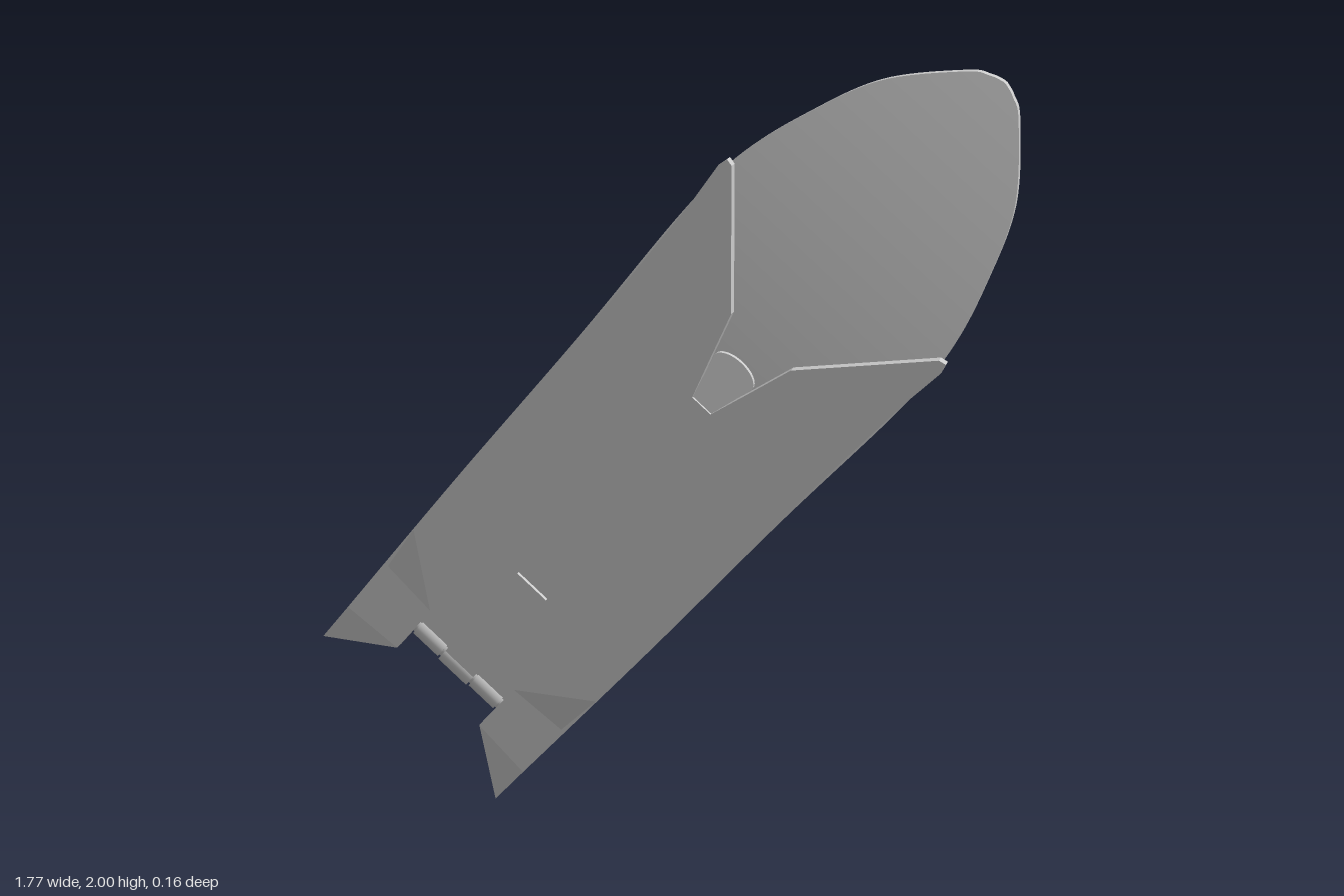
import * as THREE from 'three';
import { ConvexGeometry } from 'three/addons/geometries/ConvexGeometry.js';

const material = new THREE.MeshStandardMaterial({ color: 0xcccccc, side: THREE.DoubleSide });
const BACK = 0.013, MID = 0.041, FRONT = 0.069;

function add(group, name, geometry) {
  const mesh = new THREE.Mesh(geometry, material);
  mesh.name = name;
  group.add(mesh);
  return mesh;
}

// Flat plate from an outline, between two depths
function slab(points, z0, z1) {
  const shape = new THREE.Shape(points.map(([x, y]) => new THREE.Vector2(x, y)));
  return new THREE.ExtrudeGeometry(shape, { depth: z1 - z0, bevelEnabled: false }).translate(0, 0, z0);
}

// Corner whose outer point slopes down from the front face to the depth "low"
function wedge([a, b, tip], z0, z1, low) {
  const v = (p, z) => new THREE.Vector3(p[0], p[1], z);
  return new ConvexGeometry([v(a, z0), v(b, z0), v(tip, z0), v(a, z1), v(b, z1), v(tip, low)]);
}

// Half outline followed by its mirror image
const mirrored = (half) => [...half, ...half.map(([x, y]) => [-x, y]).reverse()];

// Long board with a rounded nose that sweeps backwards
function boardGeometry() {
  const edge = new THREE.SplineCurve([
    [0.323, 0.285], [0.33, 0.7], [0.333, 1.2], [0.344, 1.6], [0.332, 1.79], [0.281, 1.963],
    [0.207, 2.128], [0.082, 2.267], [0.035, 2.297], [0.004, 2.307],
  ].map(([x, y]) => new THREE.Vector2(x, y)));
  const geometry = new THREE.BoxGeometry(2, 1, MID - BACK, 4, 90, 1);
  const pos = geometry.attributes.position;
  for (let i = 0; i < pos.count; i++) {
    const p = edge.getPoint(pos.getY(i) + 0.5);
    const bend = 0.0755 * Math.max(0, p.y - 1.2) ** 2;
    pos.setXYZ(i, pos.getX(i) * p.x, p.y, pos.getZ(i) + (BACK + MID) / 2 - bend);
  }
  geometry.computeVertexNormals();
  return geometry;
}

export function createModel() {
  const model = new THREE.Group();
  model.name = 'hingedBoard';
  const body = new THREE.Group();
  body.name = 'tiltedBody';
  body.rotation.z = -THREE.MathUtils.degToRad(40);
  body.position.set(-0.645, 0.215, 0);
  model.add(body);

  add(body, 'backBoard', boardGeometry());

  // Front plate with a V-shaped opening at its upper end
  add(body, 'frontPlate', slab(mirrored([
    [0.15, 0.285], [0.15, 0.33], [0.322, 0.476], [0.322, 0.9], [0.328, 1.3], [0.34, 1.65],
    [0.349, 1.755], [0.343, 1.778], [0.325, 1.774], [0.096, 1.508], [0.063, 1.395], [0.03, 1.285],
  ]), MID + 0.001, FRONT));

  for (const side of [-1, 1]) {
    const flip = (points) => points.map(([x, y]) => [x * side, y]);
    // Prongs either side of the hinge, ending in sloped points
    add(body, 'boardProng', slab(flip([[0.15, 0.33], [0.15, 0.155], [0.32, 0.142], [0.323, 0.29], [0.3, 0.33]]), BACK, MID));
    add(body, 'prongTip', wedge(flip([[0.15, 0.155], [0.32, 0.142], [0.32, 0]]), BACK, MID, BACK + 0.003));
    add(body, 'plateCorner', wedge(flip([[0.15, 0.33], [0.322, 0.476], [0.312, 0.325]]), MID + 0.001, FRONT, MID + 0.004));
  }

  // Sloping rounded tab at the bottom of the opening
  const arc = [];
  for (let i = 0; i <= 16; i++) {
    const a = (i / 16) * Math.PI;
    arc.push([0.061 * Math.cos(a), 1.397 + 0.031 * Math.sin(a)]);
  }
  const tab = slab([[-0.03, 1.285], [0.03, 1.285], ...arc], MID - 0.006, 0.062);
  const pos = tab.attributes.position;
  for (let i = 0; i < pos.count; i++) {
    if (pos.getZ(i) > 0.05) pos.setZ(i, 0.062 - 0.09 * (pos.getY(i) - 1.285));
  }
  tab.computeVertexNormals();
  add(body, 'thumbTab', tab);

  // Hinge barrel: pin, two outer knuckles and a larger centre knuckle
  const barrel = (name, radius, length, x) => {
    const geometry = new THREE.CylinderGeometry(radius, radius, length, 32).rotateZ(Math.PI / 2);
    add(body, name, geometry).position.set(x, 0.267, 0.043);
  };
  barrel('hingePin', 0.028, 0.298, 0);
  barrel('centreKnuckle', 0.038, 0.1, 0);
  for (const side of [-1, 1]) barrel('outerKnuckle', 0.034, 0.088, side * 0.1);

  // Thin hinge straps on the front and back faces
  const strap = [[-0.05, 0.267], [0.05, 0.267], [0.05, 0.6], [-0.05, 0.6]];
  add(body, 'frontStrap', slab(strap, FRONT - 0.004, 0.079));
  add(body, 'backStrap', slab(strap, 0.005, BACK + 0.004));

  return model;
}
